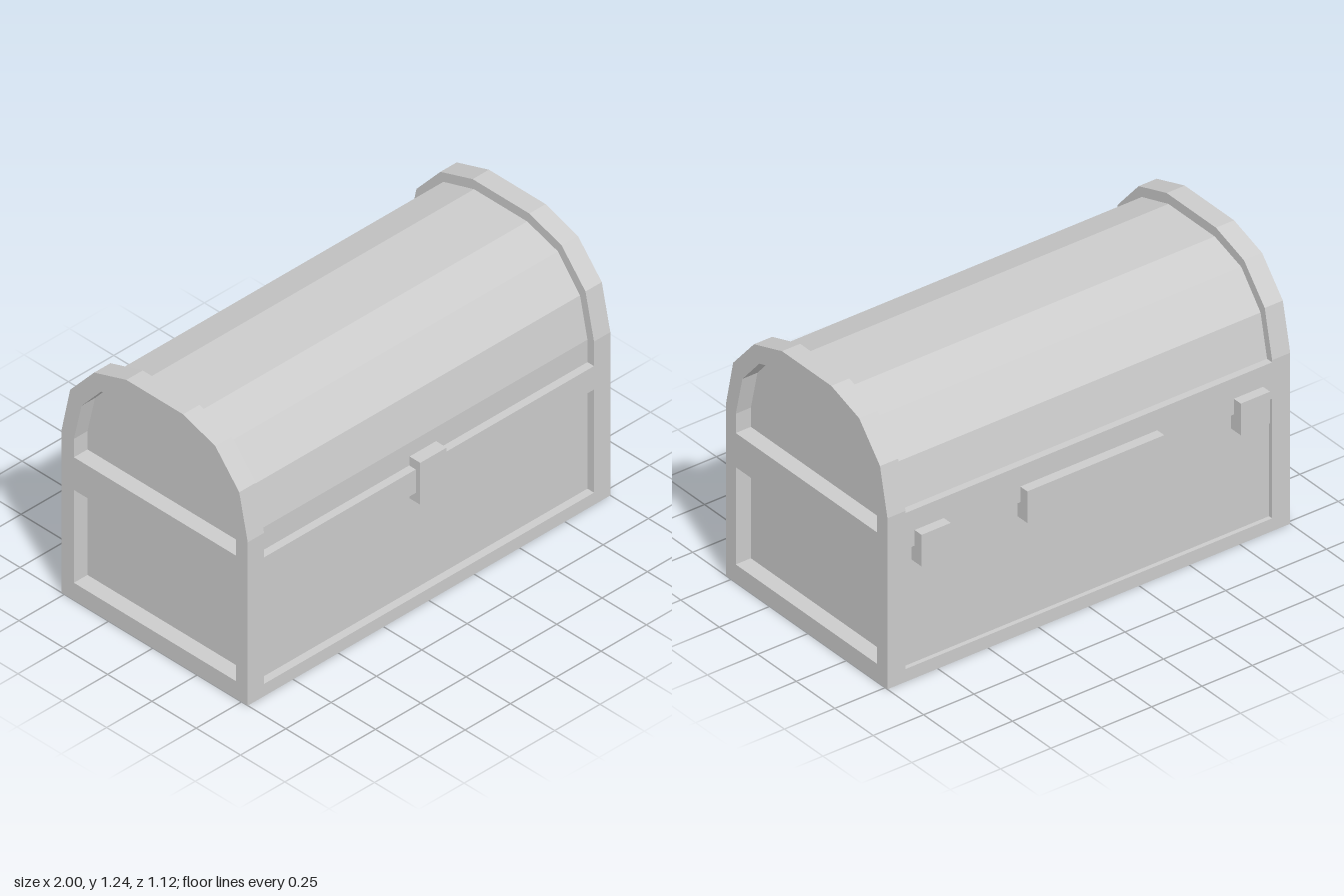
import * as THREE from 'three';

// Arched outline in the z-y plane: half holds [half depth, height] from the base up
function archPoints(centre, half) {
  const front = half.map(([z, y]) => new THREE.Vector2(centre + z, y));
  const back = half.map(([z, y]) => new THREE.Vector2(centre - z, y)).reverse();
  return [...front, ...back];
}

// Extrude a z-y outline along x, from x0 to x1
function extrudeX(points, holes, x0, x1) {
  const shape = new THREE.Shape(points);
  shape.holes = holes.map((h) => new THREE.Path(h));
  const geo = new THREE.ExtrudeGeometry(shape, { depth: x1 - x0, bevelEnabled: false });
  geo.rotateY(-Math.PI / 2);
  geo.translate(x1, 0, 0);
  return geo;
}

export function createModel() {
  const group = new THREE.Group();
  group.name = 'chest';
  const grey = new THREE.MeshStandardMaterial({ color: 0xcccccc });
  grey.name = 'plain grey';

  function add(name, geo) {
    const mesh = new THREE.Mesh(geo, grey);
    mesh.name = name;
    group.add(mesh);
  }
  function box(name, [x0, x1], [y0, y1], [z0, z1]) {
    const geo = new THREE.BoxGeometry(x1 - x0, y1 - y0, z1 - z0);
    geo.translate((x0 + x1) / 2, (y0 + y1) / 2, (z0 + z1) / 2);
    add(name, geo);
  }

  const FRONT = 0.535, BACK = -0.515, INNER = 0.91;

  // Recessed body and barrel lid
  const core = archPoints(0.008, [
    [0.49, 0.03], [0.49, 0.79], [0.448, 0.985], [0.323, 1.135], [0.15, 1.19],
  ]);
  add('bodyAndLid', extrudeX(core, [], -0.925, 0.925));

  // End frames, each with an arched opening above a rectangular one
  const outer = archPoints(0.01, [
    [0.525, 0], [0.525, 0.8], [0.477, 1.02], [0.342, 1.175], [0.16, 1.235],
  ]);
  const archHole = archPoints(0.012, [
    [0.458, 0.7], [0.458, 0.79], [0.415, 0.975], [0.305, 1.102], [0.142, 1.155],
  ]);
  const panelHole = archPoints(0.012, [[0.458, 0.085], [0.458, 0.54]]);
  const holes = [archHole, panelHole];
  add('leftEndFrame', extrudeX(outer, holes, INNER, 1));
  add('rightEndFrame', extrudeX(outer, holes, -1, -INNER));

  // Base, rails and back panel between the end frames
  const span = [-INNER, INNER];
  box('base', span, [0, 0.06], [BACK, FRONT]);
  box('frontRail', span, [0.565, 0.68], [0.45, FRONT]);
  box('backRail', span, [0.62, 0.79], [BACK, -0.45]);
  box('backPanel', span, [0.06, 0.62], [-0.495, -0.45]);

  // Latch and hinges
  box('latch', [-0.073, 0.073], [0.52, 0.725], [0.5, 0.56]);
  box('centreHinge', [-0.34, 0.34], [0.545, 0.693], [-0.56, -0.48]);
  box('leftHinge', [0.72, 0.865], [0.545, 0.693], [-0.56, -0.48]);
  box('rightHinge', [-0.865, -0.72], [0.545, 0.693], [-0.56, -0.48]);

  return group;
}
